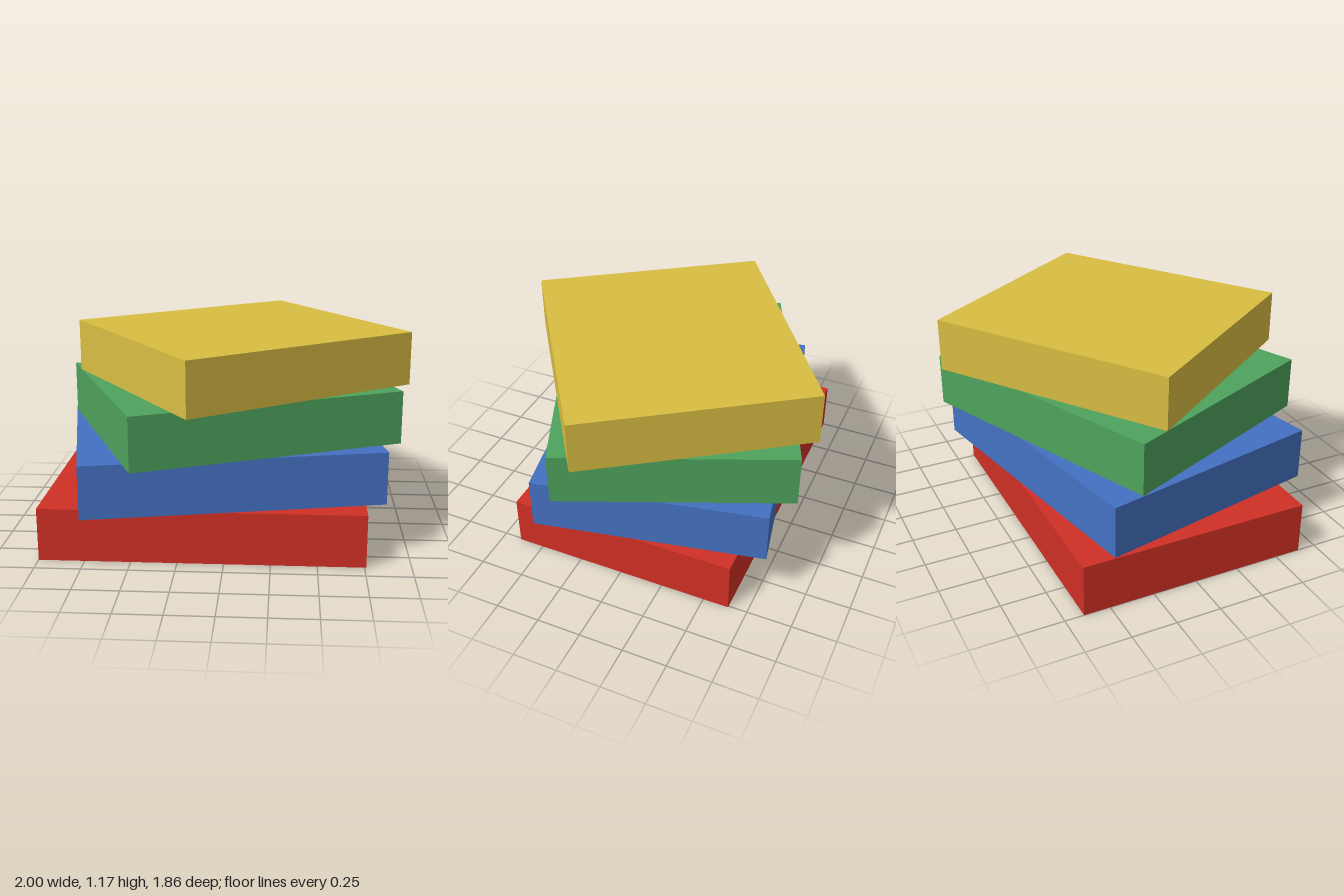
import * as THREE from 'three';

const flat = (name, color) => {
  const material = new THREE.MeshStandardMaterial({ color });
  material.name = name;
  return material;
};

export function createModel() {
  const group = new THREE.Group();
  group.name = 'twistedSlabStack';

  const unit = 0.11725;
  const height = 2.5 * unit;
  const depth = 11 * unit;
  const slabs = [
    ['redSlab', flat('red', 0xd03025)],
    ['blueSlab', flat('blue', 0x4471c2)],
    ['greenSlab', flat('green', 0x4fa35d)],
    ['yellowSlab', flat('yellow', 0xd9be42)],
  ];

  // Each slab is one unit shorter than the one below, turned 0.2 rad further
  // and shifted half a unit along x
  slabs.forEach(([name, material], i) => {
    const slab = new THREE.Mesh(
      new THREE.BoxGeometry((15 - i) * unit, height, depth),
      material
    );
    slab.name = name;
    slab.position.set(-0.1206 + 0.5 * i * unit, (i + 0.5) * height, 0);
    slab.rotation.y = 0.2 * i;
    group.add(slab);
  });

  return group;
}
